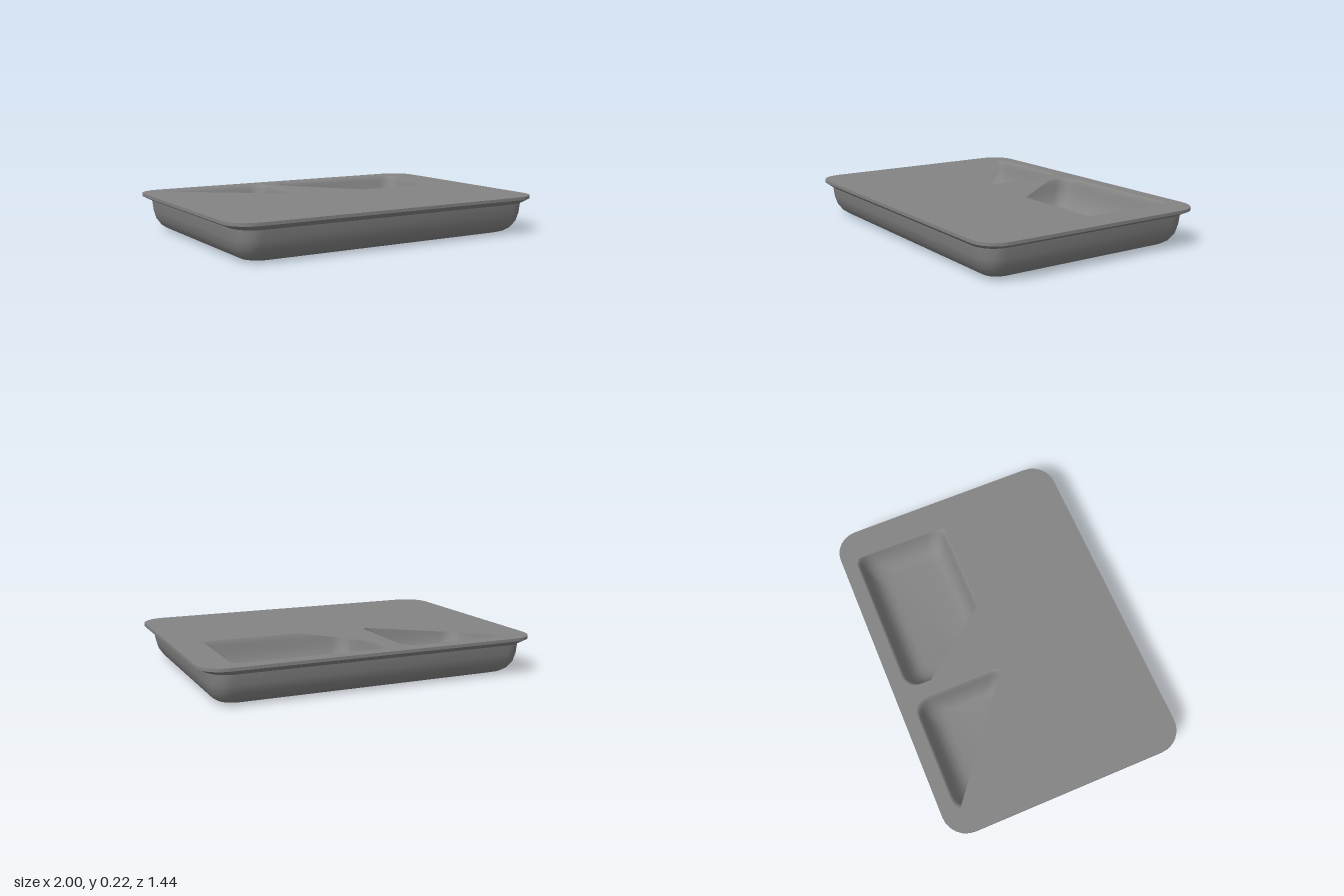
import * as THREE from 'three';
import { toCreasedNormals } from 'three/addons/utils/BufferGeometryUtils.js';

const material = new THREE.MeshStandardMaterial({ color: 0x848484, side: THREE.DoubleSide });
const TOP = 0.225, SEG = 6;

// Rounded rectangle as [x, z] points; r is the corner radius
function ring(x0, x1, z0, z1, r) {
  const corners = [[x1 - r, z1 - r], [x0 + r, z1 - r], [x0 + r, z0 + r], [x1 - r, z0 + r]];
  const pts = [];
  corners.forEach(([cx, cz], k) => {
    for (let i = 0; i <= SEG; i++) {
      const a = (k + i / SEG) * Math.PI / 2;
      pts.push([cx + r * Math.cos(a), cz + r * Math.sin(a)]);
    }
  });
  return pts;
}

// Skin through levels { y, pts }: rising levels face outward, falling ones inward
function loft(levels) {
  const pos = [], index = [], n = levels[0].pts.length;
  levels.forEach(({ y, pts }) => pts.forEach(([x, z]) => pos.push(x, y, z)));
  for (let i = 0; i < levels.length - 1; i++) {
    for (let j = 0; j < n; j++) {
      const a = i * n + j, b = i * n + (j + 1) % n;
      index.push(a, a + n, b, b, a + n, b + n);
    }
  }
  const g = new THREE.BufferGeometry();
  g.setAttribute('position', new THREE.Float32BufferAttribute(pos, 3));
  g.setIndex(index);
  return toCreasedNormals(g, 0.6);
}

function add(group, name, geometry) {
  const mesh = new THREE.Mesh(geometry, material);
  mesh.name = name;
  group.add(mesh);
}

// Compartment with a soft lip and a wide fillet; inset is how far the floor pulls in per side
function wellGeometry([x0, x1, z0, z1], [ix0, ix1, iz0, iz1]) {
  const curve = [[0, 0.2245], [0.06, 0.221], [0.11, 0.21], [0.16, 0.19], [0.22, 0.155],
    [0.32, 0.115], [0.46, 0.08], [0.62, 0.056], [0.8, 0.041], [1, 0.036]];
  const levels = curve.map(([t, y]) => ({
    y, pts: ring(x0 + ix0 * t, x1 - ix1 * t, z0 + iz0 * t, z1 - iz1 * t, 0.085)
  }));
  const cx = (x0 + x1) / 2, cz = (z0 + z1) / 2;
  levels.push({ y: 0.036, pts: ring(cx, cx, cz, cz, 0) });
  return loft(levels);
}

// Opening outline from [x, z] points
const outline = pts => new THREE.Path(pts.map(([x, z]) => new THREE.Vector2(x, -z)));

export function createModel() {
  const group = new THREE.Group();
  group.name = 'compartmentTray';

  // Rounded outer body
  const body = [[0.835, 0.575, 0], [0.87, 0.604, 0.01], [0.9, 0.632, 0.03],
    [0.925, 0.66, 0.07], [0.938, 0.676, 0.12], [0.946, 0.685, 0.18]];
  add(group, 'body', loft([
    { y: 0, pts: ring(0, 0, 0, 0, 0) },
    ...body.map(([x, z, y], i) => ({ y, pts: ring(-x, x, -z, z, 0.07 + 0.011 * i) }))
  ]));

  // Flared rim with an upright outer edge
  const rimTop = ring(-1, 1, -0.72, 0.72, 0.145);
  add(group, 'rim', loft([
    { y: 0.18, pts: ring(-0.946, 0.946, -0.685, 0.685, 0.125) },
    { y: 0.203, pts: ring(-0.992, 0.992, -0.714, 0.714, 0.143) },
    { y: 0.207, pts: rimTop },
    { y: TOP, pts: rimTop }
  ]));

  // Flat top with a triangular and a five-sided opening
  const lid = new THREE.Shape(rimTop.map(([x, z]) => new THREE.Vector2(x, -z)));
  lid.holes.push(
    outline([[-0.85, -0.608], [-0.825, -0.63], [-0.79, -0.638], [-0.255, -0.638], [-0.222, -0.63],
      [-0.194, -0.612], [-0.178, -0.585], [-0.172, -0.555], [-0.172, -0.12], [-0.185, -0.09], [-0.2, -0.095]]),
    outline([[-0.088, -0.49], [-0.088, -0.555], [-0.081, -0.585], [-0.064, -0.612], [-0.036, -0.63],
      [-0.005, -0.638], [0.785, -0.638], [0.82, -0.61], [0.82, -0.51], [0.815, -0.06],
      [0.79, -0.052], [0.25, -0.052]])
  );
  add(group, 'top', new THREE.ShapeGeometry(lid).rotateX(-Math.PI / 2).translate(0, TOP, 0));

  // Compartments beneath the openings
  add(group, 'rightWell', wellGeometry([-0.87, -0.17, -0.64, -0.05], [0.15, 0.1, 0.16, 0.1]));
  add(group, 'leftWell', wellGeometry([-0.09, 0.87, -0.64, -0.05], [0.1, 0.15, 0.16, 0.12]));

  return group;
}
